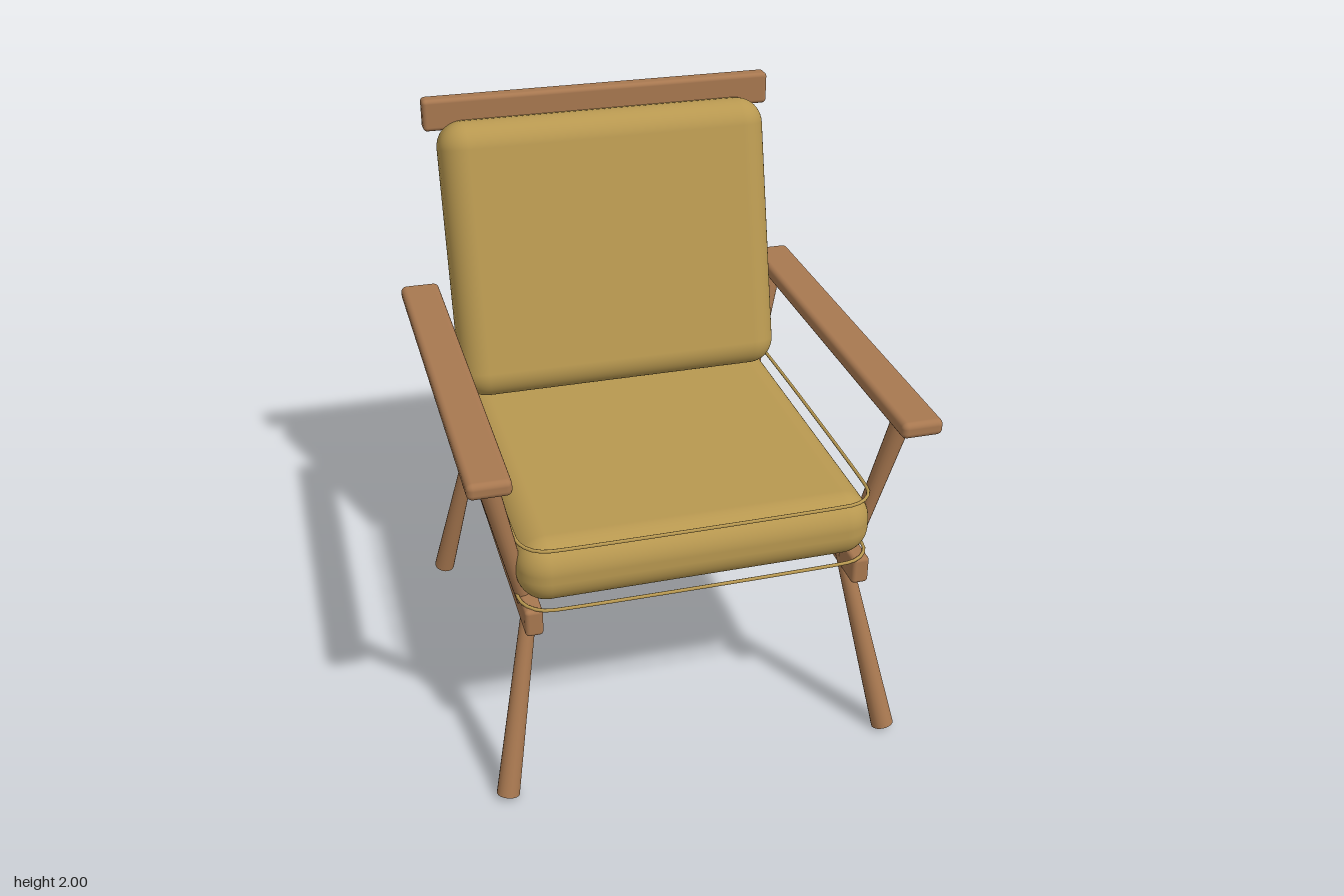
import * as THREE from 'three';
import { RoundedBoxGeometry } from 'three/addons/geometries/RoundedBoxGeometry.js';

export function createModel() {
  const model = new THREE.Group();
  model.name = 'armchair';
  const wood = new THREE.MeshStandardMaterial({ name: 'wood', color: 0xa87850 });
  const fabric = new THREE.MeshStandardMaterial({ name: 'mustard fabric', color: 0xb89850 });

  const add = (name, geometry, material) => {
    const mesh = new THREE.Mesh(geometry, material);
    mesh.name = name;
    model.add(mesh);
    return mesh;
  };

  // Rounded block given by its size, centre and edge radius
  const block = (name, size, centre, radius, material, segments = 3) => {
    const mesh = add(name, new RoundedBoxGeometry(...size, segments, radius), material);
    mesh.position.set(...centre);
    return mesh;
  };

  // Tapered round pole between two points
  const pole = (name, bottom, top, rBottom, rTop) => {
    const a = new THREE.Vector3(...bottom), b = new THREE.Vector3(...top);
    const dir = b.clone().sub(a);
    const mesh = add(name, new THREE.CylinderGeometry(rTop, rBottom, dir.length(), 20), wood);
    mesh.position.copy(a).add(b).multiplyScalar(0.5);
    mesh.quaternion.setFromUnitVectors(new THREE.Vector3(0, 1, 0), dir.normalize());
  };

  // Cushions
  block('seatCushion', [1.2, 0.226, 1.27], [0, 0.845, 0.045], 0.1, fabric, 6);
  block('backCushion', [1.2, 1.0, 0.235], [0, 1.437, -0.54], 0.095, fabric, 6).rotation.x = -0.25;

  // Piping loops along the top and bottom of the seat cushion
  const piping = (name, y) => {
    const w = 0.595, back = -0.585, front = 0.675, r = 0.1, points = [];
    const corners = [[w - r, front - r], [-w + r, front - r], [-w + r, back + r], [w - r, back + r]];
    corners.forEach(([x, z], i) => {
      for (let k = 0; k <= 6; k++) {
        const t = (i + k / 6) * Math.PI / 2;
        points.push(new THREE.Vector3(x + r * Math.cos(t), y, z + r * Math.sin(t)));
      }
    });
    const path = new THREE.CatmullRomCurve3(points, true, 'centripetal');
    add(name, new THREE.TubeGeometry(path, 160, 0.006, 8, true), fabric);
  };
  piping('topPiping', 0.958);
  piping('bottomPiping', 0.732);

  // Head rail behind the back cushion
  block('headRail', [1.28, 0.115, 0.062], [0, 1.942, -0.703], 0.015, wood);

  // Mirrored side frames
  for (const [side, s] of [['left', 1], ['right', -1]]) {
    block(side + 'SeatRail', [0.06, 0.1, 1.365], [s * 0.56, 0.68, -0.018], 0.014, wood);
    block(side + 'Armrest', [0.14, 0.056, 1.485], [s * 0.693, 1.258, 0.018], 0.02, wood);
    pole(side + 'FrontArmPost', [s * 0.568, 0.69, 0.54], [s * 0.69, 1.245, 0.617], 0.025, 0.034);
    pole(side + 'RearArmPost', [s * 0.568, 0.69, -0.58], [s * 0.69, 1.245, -0.657], 0.025, 0.034);
    pole(side + 'FrontLeg', [s * 0.68, 0.012, 0.685], [s * 0.547, 0.68, 0.525], 0.039, 0.025);
    pole(side + 'RearLeg', [s * 0.68, 0.012, -0.72], [s * 0.547, 0.68, -0.565], 0.039, 0.025);
  }
  return model;
}
